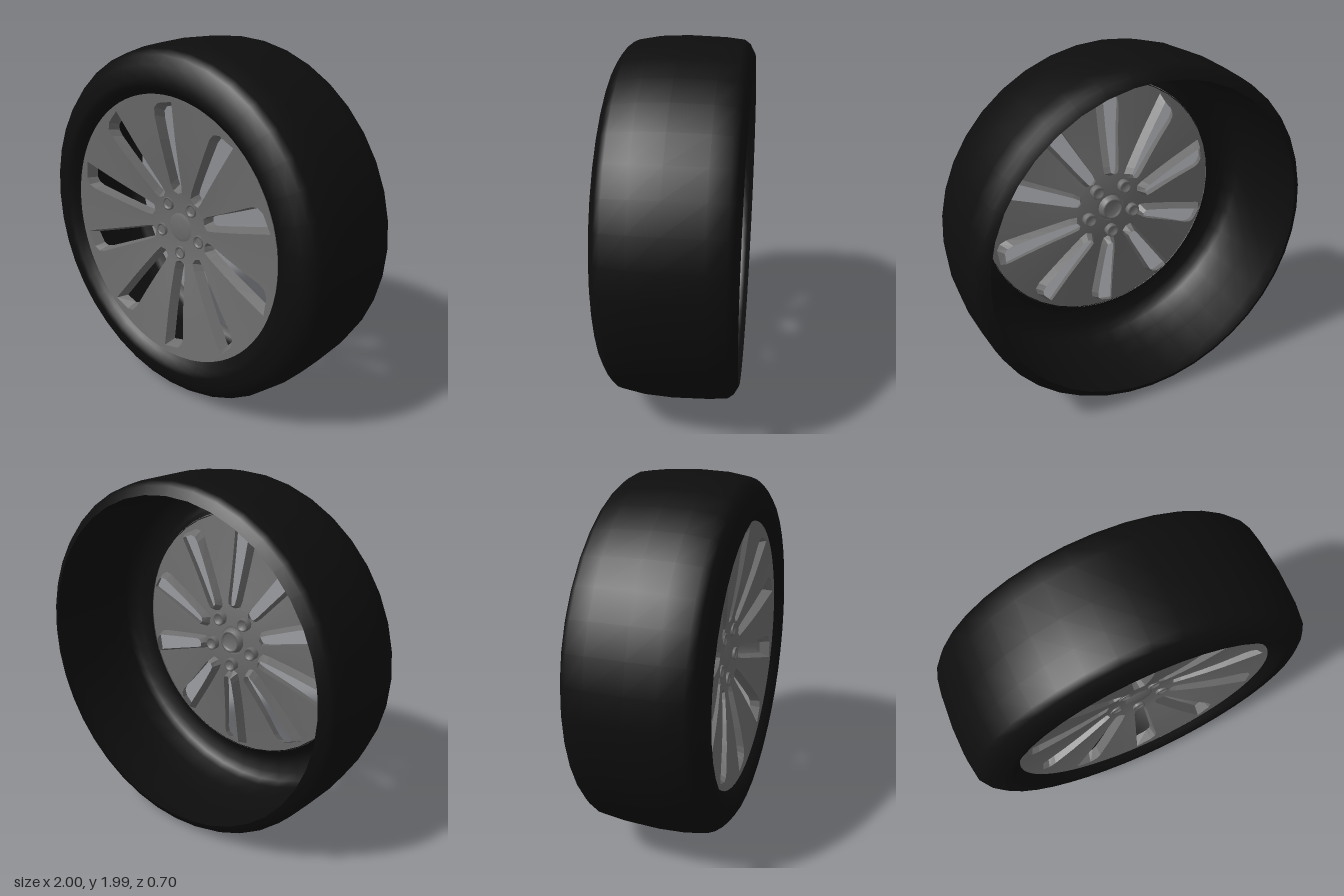
import * as THREE from 'three';

const SPOKES = 10, STEP = (Math.PI * 2) / SPOKES, CENTER_Y = 0.994;

// Window outline: [radius, left offset, right offset]; it closes at both ends.
const WINDOW = [
  [0.195, 0, 0], [0.21, -0.035, 0.03], [0.25, -0.045, 0.036], [0.38, -0.057, 0.042],
  [0.5, -0.069, 0.047], [0.63, -0.083, 0.052], [0.67, -0.076, 0.054],
  [0.695, -0.045, 0.055], [0.713, 0.055, 0.055],
];

// Depth of the dished wheel face at a given radius
const DISH = [[0, 0.2], [0.12, 0.2], [0.2, 0.212], [0.45, 0.262], [0.74, 0.302], [1, 0.302]];
function dish(r) {
  let i = 0;
  while (i < DISH.length - 2 && r > DISH[i + 1][0]) i++;
  const [r0, z0] = DISH[i], [r1, z1] = DISH[i + 1];
  return z0 + ((z1 - z0) * (r - r0)) / (r1 - r0);
}

// Point at radius r and clockwise offset x from a window's centre line
function polar(center, x, r, z) {
  const a = center - x / r;
  return [Math.cos(a) * r, Math.sin(a) * r, z];
}

// Surface from equal-length rows of points
function gridGeometry(rows, flat = false) {
  const n = rows[0].length, index = [];
  for (let i = 0; i < rows.length - 1; i++) {
    for (let j = 0; j < n - 1; j++) {
      const a = i * n + j, b = a + n;
      index.push(a, a + 1, b, a + 1, b + 1, b);
    }
  }
  let g = new THREE.BufferGeometry();
  g.setAttribute('position', new THREE.Float32BufferAttribute(rows.flat(2), 3));
  g.setIndex(index);
  if (flat) g = g.toNonIndexed();
  g.computeVertexNormals();
  return g;
}

// One sector of the dished face, between two neighbouring windows
function spokeGeometry(center) {
  const profile = [[0.002, 0, 0], [0.12, 0, 0], ...WINDOW, [0.742, 0.055, 0.055]];
  const columns = 8;
  const rows = profile.map(([r, left, right]) => {
    const row = [];
    const end = STEP * r + left;
    for (let j = 0; j <= columns; j++) {
      row.push(polar(center, right + ((end - right) * j) / columns, r, dish(r)));
    }
    return row;
  });
  return gridGeometry(rows);
}

// Bevelled walls that narrow from the window outline towards the back
function windowWallGeometry(center) {
  const loop = [
    ...WINDOW.map(([r, left]) => [r, left]),
    ...WINDOW.slice(0, -1).reverse().map(([r, , right]) => [r, right]),
  ];
  const front = loop.map(([r, x]) => polar(center, x, r, dish(r)));
  const back = loop.map(([r, x]) => {
    const inner = 0.22 + ((r - 0.195) * 0.465) / 0.518;
    return polar(center, x * 0.7 - 0.007, inner, dish(inner) - 0.055);
  });
  return gridGeometry([front, back], true);
}

export function createModel() {
  const rubber = new THREE.MeshStandardMaterial({ color: 0x0d0d0d, side: THREE.DoubleSide });
  rubber.name = 'black rubber';
  const alloy = new THREE.MeshStandardMaterial({ color: 0x6c6c6c, side: THREE.DoubleSide });
  alloy.name = 'grey alloy';

  const wheel = new THREE.Group();
  wheel.name = 'wheel';
  const add = (parent, name, geometry, material) => {
    const mesh = new THREE.Mesh(geometry, material);
    mesh.name = name;
    parent.add(mesh);
    return mesh;
  };
  const lathe = (points, sides) => new THREE.LatheGeometry(
    points.map(([r, z]) => new THREE.Vector2(r, z)), sides).rotateX(Math.PI / 2);

  // Tyre: an open shell from the back edge to the inner lip at the front
  const tyre = add(wheel, 'tyre', lathe([
    [0.915, -0.35], [0.96, -0.325], [0.982, -0.295], [0.993, -0.2], [1, 0], [0.993, 0.15],
    [0.972, 0.27], [0.945, 0.305], [0.9, 0.335], [0.825, 0.35], [0.79, 0.345],
    [0.765, 0.315], [0.735, 0.288],
  ], 40), rubber);
  tyre.scale.y = 0.994;

  // Wheel face with ten raked windows
  const rim = new THREE.Group();
  rim.name = 'rim';
  wheel.add(rim);
  for (let i = 0; i < SPOKES; i++) {
    const center = THREE.MathUtils.degToRad(91) - i * STEP;
    add(rim, 'spoke', spokeGeometry(center), alloy);
    add(rim, 'windowWall', windowWallGeometry(center), alloy);
  }
  add(rim, 'rimEdge', lathe([[0.735, 0.288], [0.742, 0.302]], 80), alloy);

  // Hub cap on the front, round boss on the back
  add(rim, 'hubCap', lathe([[0, 0.21], [0.06, 0.208], [0.085, 0.199]], 20), alloy);
  add(rim, 'hubBoss', lathe([[0.075, 0.2], [0.065, 0.165], [0.052, 0.165], [0.048, 0.18], [0, 0.18]], 20), alloy);

  // Five lug seats: shallow rings in front, short sockets behind
  for (let i = 0; i < 5; i++) {
    const a = THREE.MathUtils.degToRad(-90 + i * 72);
    const lug = add(rim, 'lugSeat', lathe([
      [0, 0.2], [0.022, 0.2], [0.028, 0.213], [0.037, 0.213], [0.039, 0.17], [0.028, 0.165],
      [0.025, 0.18], [0, 0.18],
    ], 14), alloy);
    lug.position.set(Math.cos(a) * 0.148, Math.sin(a) * 0.148, 0);
  }

  wheel.position.y = CENTER_Y;
  const model = new THREE.Group();
  model.name = 'model';
  model.add(wheel);
  return model;
}
